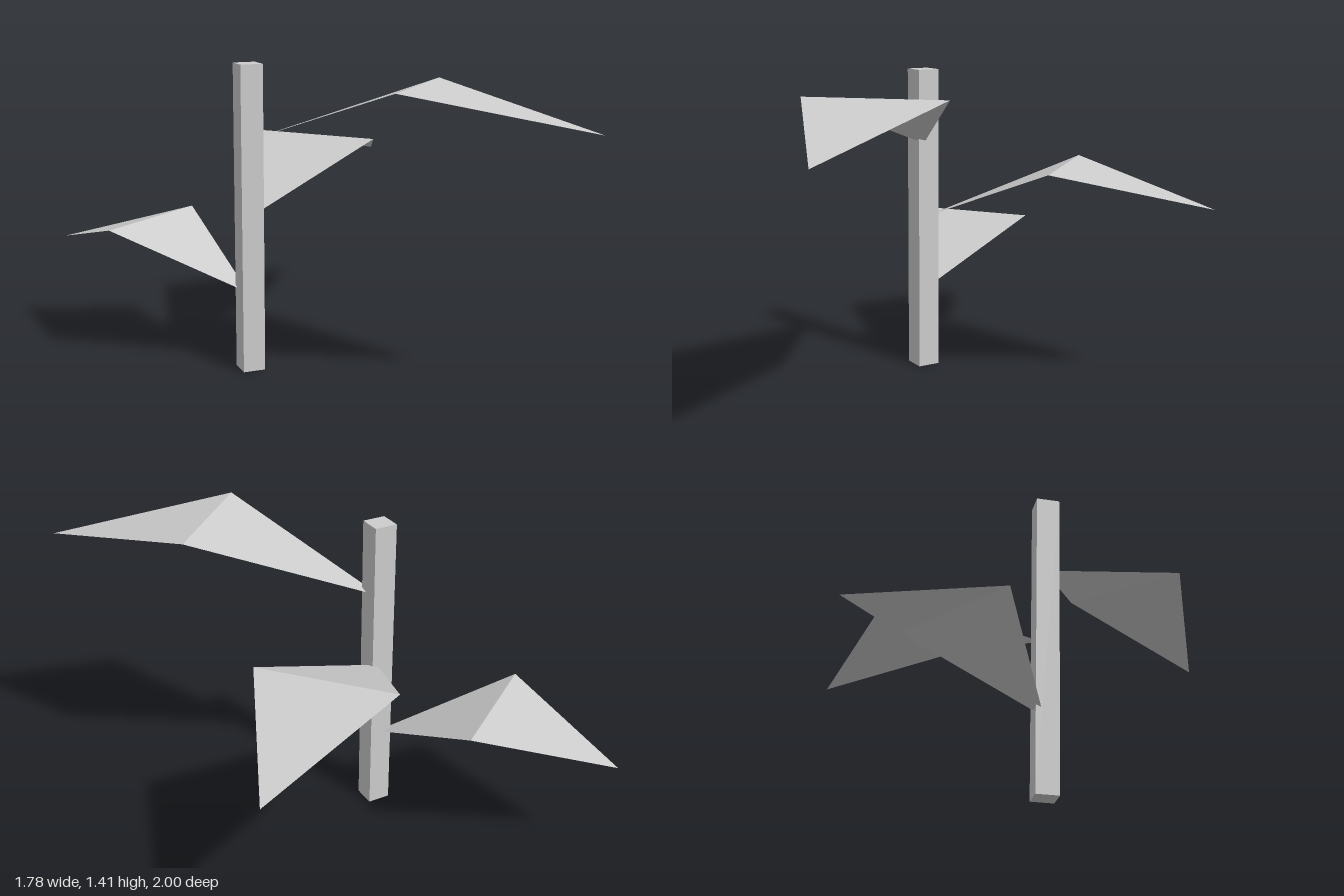
import * as THREE from 'three';

const STEM = { x: -0.227, z: -0.082, width: 0.104, height: 1.41 };

// Folded leaf along +x: narrow base rising to a wide crease, then falling to a point.
function leafGeometry(midReach, tipReach) {
  const a = [0.053, 0, 0.025], b = [0.053, 0, -0.025];
  const c = [midReach, 0.262, 0.31], d = [midReach, 0.262, -0.31];
  const tip = [tipReach, 0.097, 0];
  const geometry = new THREE.BufferGeometry();
  const corners = [a, c, d, a, d, b, c, tip, d].flat();
  geometry.setAttribute('position', new THREE.Float32BufferAttribute(corners, 3));
  geometry.computeVertexNormals();
  return geometry;
}

export function createModel() {
  const model = new THREE.Group();
  model.name = 'plant';
  const grey = new THREE.MeshStandardMaterial({ color: 0xcccccc, flatShading: true, side: THREE.DoubleSide });
  grey.name = 'light grey';

  // Square stem
  const stem = new THREE.Mesh(new THREE.BoxGeometry(STEM.width, STEM.height, STEM.width), grey);
  stem.name = 'stem';
  stem.position.set(STEM.x, STEM.height / 2, STEM.z);
  model.add(stem);

  // Leaves: base height, tip position on the ground plan, reach of the crease
  const leaves = [
    { name: 'upperLeaf', y: 1.087, tip: [0.885, 1.0], mid: 0.78 },
    { name: 'middleLeaf', y: 0.737, tip: [0.788, -0.96], mid: 0.671 },
    { name: 'lowerLeaf', y: 0.383, tip: [-0.89, -1.0], mid: 0.564 },
  ];
  for (const { name, y, tip, mid } of leaves) {
    const dx = tip[0] - STEM.x, dz = tip[1] - STEM.z;
    const leaf = new THREE.Mesh(leafGeometry(mid, Math.hypot(dx, dz)), grey);
    leaf.name = name;
    leaf.position.set(STEM.x, y, STEM.z);
    leaf.rotation.y = Math.atan2(-dz, dx);
    model.add(leaf);
  }
  return model;
}
